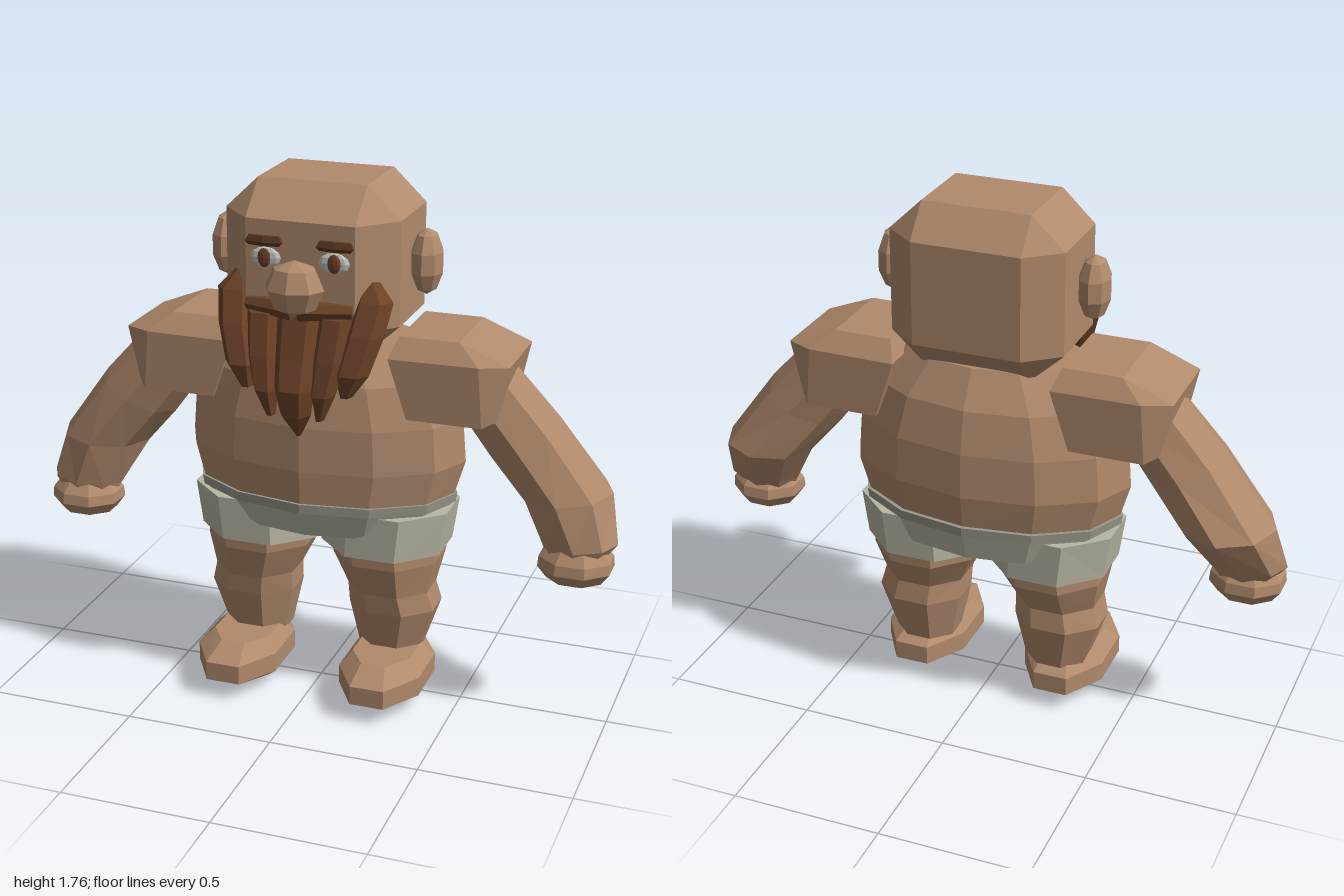
import * as THREE from 'three';
import { ConvexGeometry } from 'three/addons/geometries/ConvexGeometry.js';

const mat = (name, color) => {
  const m = new THREE.MeshStandardMaterial({ color });
  m.name = name;
  return m;
};
const V = (x, y, z) => new THREE.Vector3(x, y, z);

// Faceted normals for any geometry
function facet(g) {
  const f = g.index ? g.toNonIndexed() : g;
  f.deleteAttribute('uv');
  f.computeVertexNormals();
  return f;
}

// Mirror across x and restore the corner order
function mirrored(g) {
  const m = g.clone().scale(-1, 1, 1);
  const p = m.attributes.position;
  for (let i = 0; i < p.count; i += 3) {
    const a = V().fromBufferAttribute(p, i + 1), b = V().fromBufferAttribute(p, i + 2);
    p.setXYZ(i + 1, b.x, b.y, b.z);
    p.setXYZ(i + 2, a.x, a.y, a.z);
  }
  m.computeVertexNormals();
  return m;
}

// Skin a stack of rings, listed from bottom to top, and cap both ends
function loft(rings) {
  const pos = [], n = rings[0].length;
  const tri = (...pts) => pts.forEach(p => pos.push(p.x, p.y, p.z));
  const mid = r => r.reduce((s, p) => s.add(p), V(0, 0, 0)).divideScalar(n);
  const low = rings[0], high = rings[rings.length - 1], a = mid(low), b = mid(high);
  for (let j = 0; j < n; j++) {
    const k = (j + 1) % n;
    for (let i = 0; i + 1 < rings.length; i++) {
      tri(rings[i][j], rings[i][k], rings[i + 1][k]);
      tri(rings[i][j], rings[i + 1][k], rings[i + 1][j]);
    }
    tri(a, low[k], low[j]);
    tri(b, high[j], high[k]);
  }
  const g = new THREE.BufferGeometry();
  g.setAttribute('position', new THREE.Float32BufferAttribute(pos, 3));
  return facet(g);
}

// Level ring; flat = true puts a face rather than a corner at the front
function ring(n, flat, [y, cx, rx, cz, rz]) {
  const s = flat ? 1 / Math.cos(Math.PI / n) : 1, off = flat ? Math.PI / n : 0;
  return Array.from({ length: n }, (_, i) => {
    const a = off + (i / n) * Math.PI * 2;
    return V(cx + rx * s * Math.sin(a), y, cz + rz * s * Math.cos(a));
  });
}
const stack = (n, flat, rows) => loft(rows.map(r => ring(n, flat, r)));

// Limb ring between an inner and an outer point, with depth along z
function limbRing([ix, iy, ox, oy, cz, rz], n = 8) {
  return Array.from({ length: n }, (_, i) => {
    const a = (i / n) * Math.PI * 2, t = (1 + Math.sin(a)) / 2;
    return V(ix + (ox - ix) * t, iy + (oy - iy) * t, cz + rz * Math.cos(a));
  });
}

const blob = (x, y, z, rx, ry, rz, w = 8, h = 5) =>
  facet(new THREE.SphereGeometry(1, w, h).scale(rx, ry, rz).translate(x, y, z));

export function createModel() {
  const model = new THREE.Group();
  const skin = mat('skin', 0xb08a6c), cloth = mat('cloth', 0xb8b6a3), band = mat('waistband', 0x9a9989);
  const hair = mat('beard brown', 0x6c4328), brow = mat('brow brown', 0x5c3822);
  const white = mat('eye white', 0xc6cbc6), iris = mat('iris brown', 0x6a4028);

  const add = (name, g, m) => {
    const mesh = new THREE.Mesh(g, m);
    mesh.name = name;
    model.add(mesh);
  };
  const pair = (name, g, m) => {
    add(name + 'Left', g, m);
    add(name + 'Right', mirrored(g), m);
  };

  // Head: box with every edge bevelled
  const headPoints = [];
  for (const sx of [-1, 1]) for (const [z, zi] of [[0.2, 0.085], [-0.275, -0.185]])
    for (const [y, yi] of [[1.765, 1.66], [1.22, 1.32]])
      headPoints.push(V(sx * 0.29, yi, zi), V(sx * 0.18, y, zi), V(sx * 0.18, yi, z));
  add('head', facet(new ConvexGeometry(headPoints)), skin);
  pair('ear', blob(0.338, 1.505, -0.045, 0.055, 0.108, 0.07, 8, 5), skin);
  add('nose', blob(0, 1.463, 0.248, 0.098, 0.09, 0.08, 8, 4), skin);

  // Eyes and brows
  pair('eye', blob(0.113, 1.54, 0.198, 0.054, 0.034, 0.014, 8, 6), white);
  pair('iris', blob(0.115, 1.54, 0.209, 0.022, 0.031, 0.009, 8, 6), iris);
  pair('brow', stack(6, false, [
    [1.578, 0.117, 0.058, 0.2, 0.015], [1.59, 0.117, 0.07, 0.203, 0.018], [1.61, 0.117, 0.058, 0.2, 0.015],
  ]), brow);

  // Beard strands and moustache
  pair('beardSide', stack(6, true, [
    [1.125, 0.165, 0.018, 0.235, 0.025], [1.2, 0.182, 0.05, 0.235, 0.04],
    [1.32, 0.212, 0.056, 0.2, 0.042], [1.42, 0.228, 0.056, 0.158, 0.04], [1.478, 0.213, 0.022, 0.135, 0.022],
  ]), hair);
  pair('beardInner', stack(6, true, [
    [1.04, 0.082, 0.012, 0.245, 0.02], [1.13, 0.095, 0.036, 0.255, 0.042],
    [1.24, 0.11, 0.048, 0.235, 0.045], [1.37, 0.12, 0.05, 0.2, 0.045],
  ]), hair);
  add('beardCentre', stack(6, true, [
    [0.967, 0, 0.006, 0.215, 0.01], [1.05, 0, 0.045, 0.245, 0.045], [1.14, 0, 0.058, 0.262, 0.045],
    [1.24, 0, 0.066, 0.235, 0.045], [1.37, 0, 0.07, 0.2, 0.045],
  ]), hair);
  const whisker = new THREE.CylinderGeometry(0.022, 0.036, 0.17, 6, 1)
    .rotateZ(-Math.PI / 2).rotateY(0.2).translate(0.09, 1.39, 0.22);
  pair('moustache', facet(whisker), hair);

  // Torso
  add('torso', stack(12, false, [
    [0.7, 0, 0.438, -0.05, 0.258], [0.84, 0, 0.48, -0.055, 0.275], [0.99, 0, 0.468, -0.053, 0.272],
    [1.13, 0, 0.415, -0.048, 0.248], [1.25, 0, 0.3, -0.045, 0.185],
  ]), skin);

  // Shorts
  add('waistband', stack(12, false, [[0.695, 0, 0.45, -0.053, 0.271], [0.727, 0, 0.455, -0.053, 0.273]]), band);
  add('shortsSeat', stack(12, false, [[0.6, 0, 0.39, -0.06, 0.23], [0.7, 0, 0.44, -0.053, 0.258]]), cloth);
  pair('shortsLeg', stack(8, true, [[0.53, 0.215, 0.205, -0.053, 0.197], [0.68, 0.226, 0.216, -0.053, 0.197]]), cloth);

  // Legs and feet
  pair('leg', stack(8, true, [
    [0.15, 0.24, 0.103, -0.05, 0.098], [0.31, 0.25, 0.146, -0.05, 0.135], [0.38, 0.24, 0.138, -0.04, 0.135],
    [0.49, 0.225, 0.176, -0.055, 0.18], [0.6, 0.22, 0.18, -0.055, 0.185],
  ]), skin);
  pair('foot', stack(8, true, [
    [0.003, 0.255, 0.04, 0.05, 0.06], [0.027, 0.255, 0.1, 0.052, 0.15], [0.065, 0.255, 0.14, 0.052, 0.228],
    [0.13, 0.255, 0.14, 0.052, 0.228], [0.175, 0.25, 0.1, 0.045, 0.15],
  ]), skin);

  // Shoulders: bevelled blocks
  const shoulderPoints = [];
  for (const [z, zi] of [[0.13, 0.085], [-0.245, -0.2]])
    shoulderPoints.push(
      V(0.29, 1.29, zi), V(0.485, 1.29, zi), V(0.65, 1.225, zi), V(0.56, 1.228, z), V(0.265, 1.225, z),
      V(0.61, 1.04, zi), V(0.575, 1.03, z), V(0.33, 1.03, z));
  pair('shoulder', facet(new ConvexGeometry(shoulderPoints)), skin);

  // Arms and hands
  pair('arm', loft([
    [0.775, 0.56, 0.965, 0.59, -0.01, 0.075], [0.75, 0.61, 1.0, 0.635, -0.02, 0.1],
    [0.66, 0.765, 0.967, 0.79, -0.07, 0.16], [0.55, 0.89, 0.8, 1.015, -0.058, 0.14],
    [0.46, 1.01, 0.62, 1.21, -0.055, 0.125],
  ].map(r => limbRing(r))), skin);
  pair('hand', stack(8, true, [
    [0.493, 0.87, 0.05, -0.005, 0.04], [0.51, 0.87, 0.09, -0.005, 0.08], [0.55, 0.87, 0.118, -0.005, 0.106],
    [0.585, 0.87, 0.115, -0.005, 0.1], [0.625, 0.87, 0.085, -0.005, 0.07],
  ]), skin);

  return model;
}
